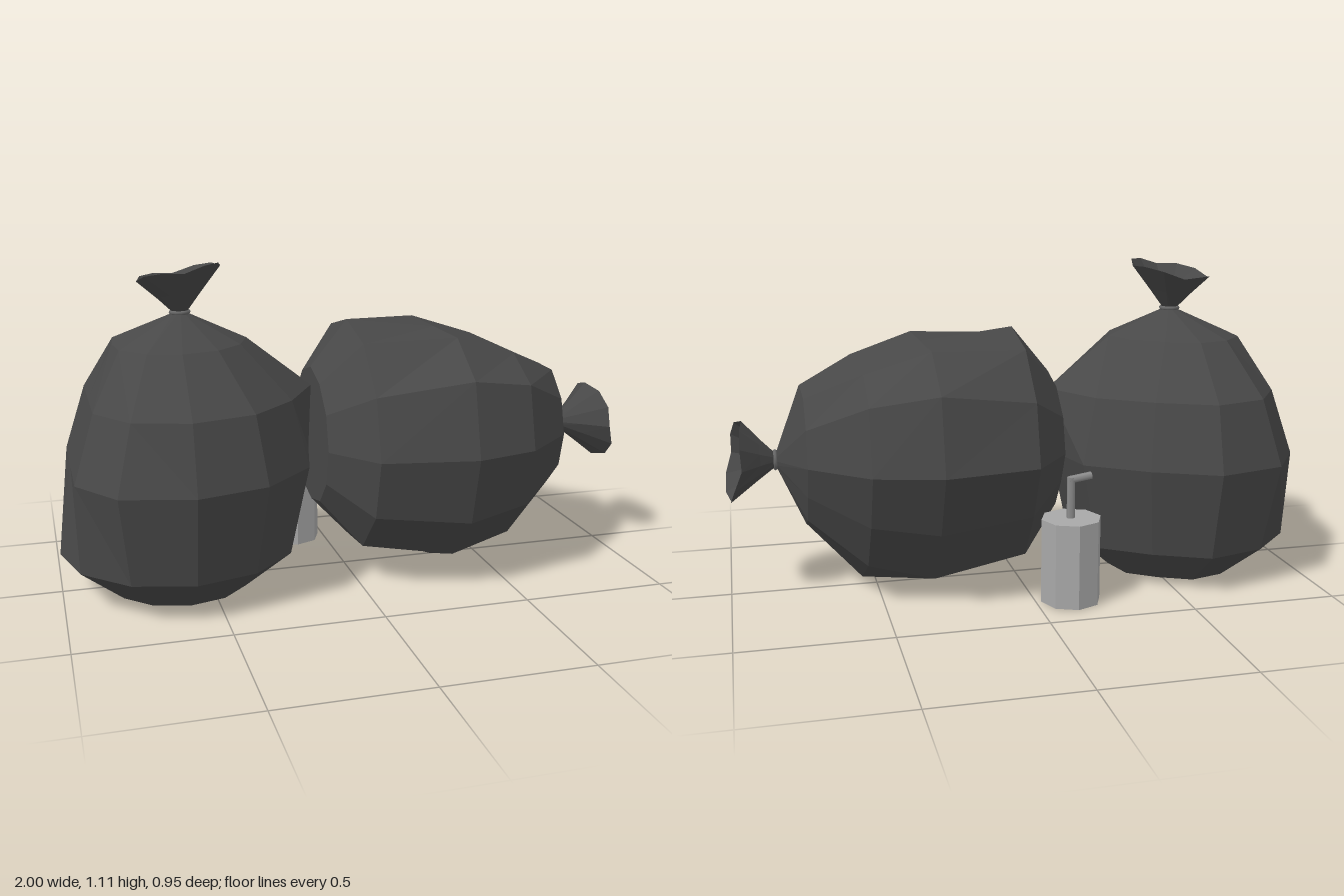
import * as THREE from 'three';

const SIDES = 12;
const bagMat = new THREE.MeshStandardMaterial({ name: 'charcoal plastic', color: 0x484848 });
const neckMat = new THREE.MeshStandardMaterial({ name: 'gathered plastic', color: 0x484848, side: THREE.DoubleSide });
const tieMat = new THREE.MeshStandardMaterial({ name: 'tie grey', color: 0x686868 });
const cupMat = new THREE.MeshStandardMaterial({ name: 'cup grey', color: 0xa8a8a8 });
const strawMat = new THREE.MeshStandardMaterial({ name: 'straw grey', color: 0x8c8c8c });

// Skin a stack of point rings with flat facets, optionally closing the bottom
function skin(rings, closed) {
  const pos = [];
  const put = (...pts) => pts.forEach((p) => pos.push(p.x, p.y, p.z));
  const centre = new THREE.Vector3();
  rings[0].forEach((p) => centre.addScaledVector(p, 1 / SIDES));
  for (let i = 0; i < SIDES; i++) {
    const j = (i + 1) % SIDES;
    if (closed) put(centre, rings[0][i], rings[0][j]);
    for (let k = 0; k + 1 < rings.length; k++) {
      const lo = rings[k], hi = rings[k + 1];
      put(lo[i], hi[i], hi[j], lo[i], hi[j], lo[j]);
    }
  }
  const geo = new THREE.BufferGeometry();
  geo.setAttribute('position', new THREE.Float32BufferAttribute(pos, 3));
  geo.computeVertexNormals();
  return geo;
}

function makeRing(fn) {
  return Array.from({ length: SIDES }, (_, i) => fn((i / SIDES) * Math.PI * 2, i));
}

function mesh(name, geo, mat) {
  const m = new THREE.Mesh(geo, mat);
  m.name = name;
  return m;
}

// Tied bag along +y; profile rows are [height, radius, min x, max x, shoulder stretch toward -x];
// lift moves the bulge of each ring toward -x
function makeBag(name, profile, lift, neckX) {
  const bag = new THREE.Group();
  bag.name = name;

  // Sagging body: round rings flattened at -x, hollowed at one back corner around the cup
  const rings = profile.map(([y, r, min, max, shoulder]) => makeRing((a, i) => {
    const dent = i === 10 ? 0.91 : 1;
    const z = Math.sin(a) * r * dent;
    let x = Math.cos(a) * r * dent - lift;
    if (i === 0) x = max;
    else if (i === SIDES / 2) x = min;
    else if (x < 0) x = Math.max(x * shoulder, min);
    return new THREE.Vector3(x, y, z);
  }));
  const neckY = profile[profile.length - 1][0] + 0.09;
  rings.push(makeRing((a) => new THREE.Vector3(neckX + 0.028 * Math.cos(a), neckY, -0.01 + 0.028 * Math.sin(a))));
  bag.add(mesh('bagBody', skin(rings, true), bagMat));

  // Flared neck, gathered shut at its base, with a slanted uneven rim
  const neckRows = [[-0.005, 0.001, 0], [0.005, 0.024, 0], [0.065, 0.073, 0.4], [0.143, 0.14, 1]];
  const neck = neckRows.map(([h, r, wave]) => makeRing((a, i) => new THREE.Vector3(
    neckX + r * Math.cos(a),
    neckY + h + wave * (0.022 * Math.cos(a) + 0.016 * Math.sin(a) + (i % 3 === 0 ? -0.01 : 0.003)),
    -0.01 + r * Math.sin(a))));
  bag.add(mesh('bagNeck', skin(neck, false), neckMat));

  // Tie around the neck
  const tie = mesh('bagTie', new THREE.TorusGeometry(0.03, 0.007, 6, 12).rotateX(Math.PI / 2), tieMat);
  tie.position.set(neckX, neckY + 0.005, -0.01);
  bag.add(tie);
  return bag;
}

function makeCup() {
  const cup = new THREE.Group();
  cup.name = 'cup';
  const body = mesh('cupBody', new THREE.CylinderGeometry(0.103, 0.103, 0.29, 8).toNonIndexed(), cupMat);
  body.geometry.computeVertexNormals();
  body.position.y = 0.15;
  // Straw: upright stem and bent tip
  const stem = mesh('strawStem', new THREE.CylinderGeometry(0.014, 0.014, 0.14, 6), strawMat);
  stem.position.set(0.002, 0.365, 0);
  const tip = mesh('strawTip', new THREE.CylinderGeometry(0.013, 0.013, 0.078, 6), strawMat);
  tip.rotation.z = Math.PI / 2 - 0.15;
  tip.position.set(-0.03, 0.432, 0);
  cup.add(body, stem, tip);
  return cup;
}

export function createModel() {
  const model = new THREE.Group();
  model.name = 'garbageBagsAndCup';

  const upright = makeBag('uprightBag', [
    [0.005, 0.24, -0.24, 0.24, 1],
    [0.14, 0.405, -0.405, 0.39, 1],
    [0.45, 0.473, -0.355, 0.465, 1],
    [0.675, 0.415, -0.285, 0.475, 0.88],
    [0.855, 0.24, -0.2, 0.25, 0.9],
  ], 0, 0.03);
  upright.position.x = -0.595;

  const lying = makeBag('lyingBag', [
    [0.01, 0.24, -0.27, 0.21, 1],
    [0.14, 0.41, -0.43, 0.35, 1],
    [0.46, 0.47, -0.39, 0.466, 1.06],
    [0.68, 0.41, -0.32, 0.44, 1.04],
    [0.868, 0.24, -0.235, 0.23, 1],
  ], 0.025, -0.005);
  lying.rotation.z = -Math.PI / 2;
  lying.position.set(-0.13, 0.47, 0);

  const cup = makeCup();
  cup.position.set(-0.12, 0, -0.317);

  model.add(upright, lying, cup);
  return model;
}
